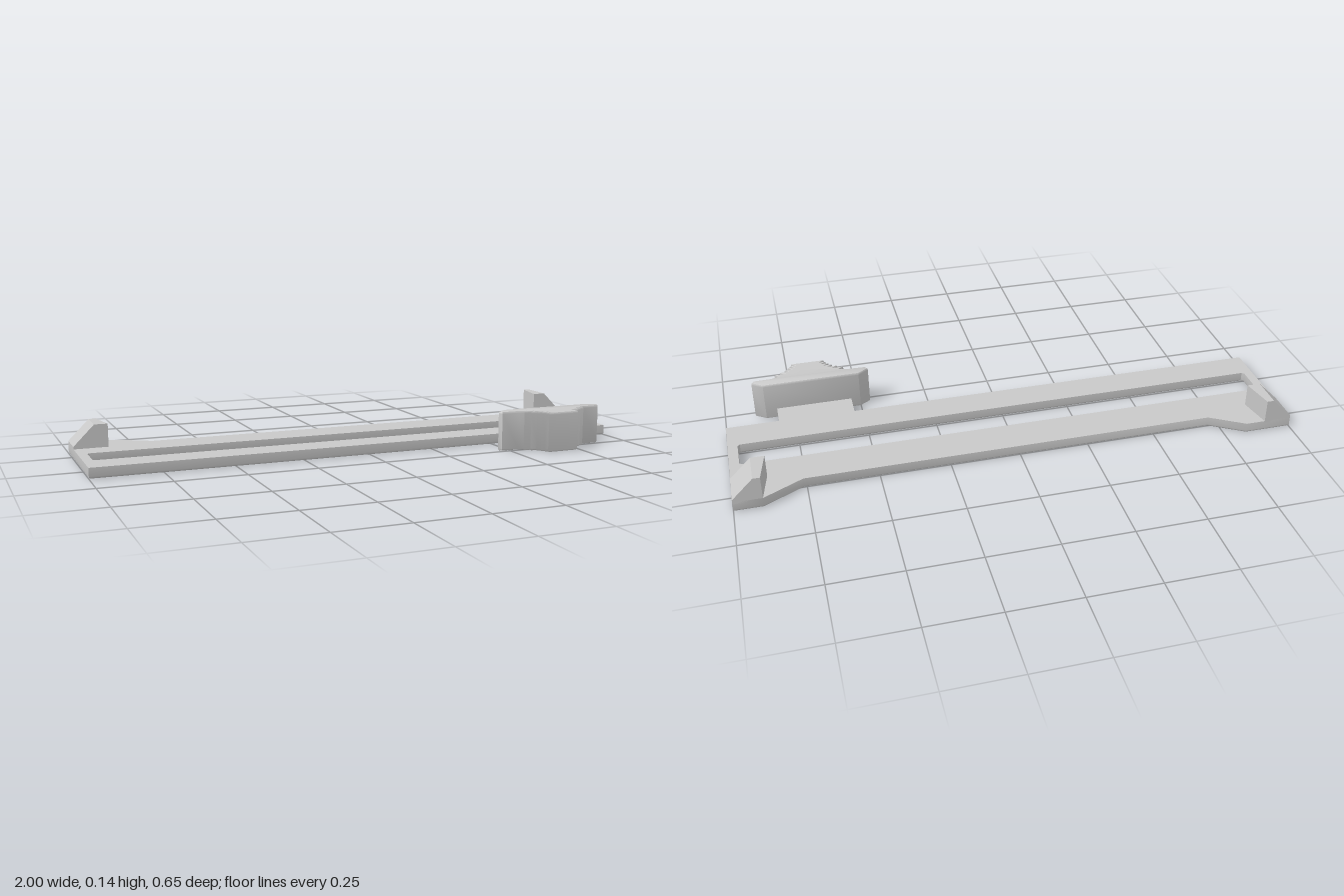
import * as THREE from 'three';
import { toCreasedNormals } from 'three/addons/utils/BufferGeometryUtils.js';

const grey = new THREE.MeshStandardMaterial({ color: 0xc8c8c8 });
grey.name = 'grey plastic';

// Points are [x, z] seen from above
const toVectors = (points) => points.map(([x, z]) => new THREE.Vector2(x, -z));

// Upright slab with softened lower edges, and softened upper edges if roundTop is set.
// The outline runs clockwise seen from above, a hole runs counter-clockwise.
function slab(name, outline, height, size, thickness, roundTop, hole) {
  const shape = new THREE.Shape(toVectors(outline));
  if (hole) shape.holes.push(new THREE.Path(toVectors(hole)));
  const depth = height - thickness * (roundTop ? 2 : 1);
  const geo = new THREE.ExtrudeGeometry(shape, {
    depth, bevelEnabled: true, bevelSize: size, bevelOffset: -size,
    bevelThickness: thickness, bevelSegments: 3,
  });
  geo.translate(0, 0, thickness).rotateX(-Math.PI / 2);
  const pos = geo.attributes.position;
  // Flatten the upper bevel to leave a crisp top
  if (!roundTop) {
    for (let i = 0; i < pos.count; i++) pos.setY(i, Math.min(pos.getY(i), height));
  }
  const mesh = new THREE.Mesh(toCreasedNormals(geo, 0.6), grey);
  mesh.name = name;
  return mesh;
}

// Sloped end stop on a back corner; side is +1 for left, -1 for right
function endStop(side) {
  const profile = [[1, 0.03], [1, 0.047], [0.925, 0.122], [0.877, 0.122], [0.877, 0.03]];
  const shape = new THREE.Shape(profile.map(([x, y]) => new THREE.Vector2(side * x, y)));
  const geo = new THREE.ExtrudeGeometry(shape, { depth: 0.119, bevelEnabled: false });
  geo.translate(0, 0, -0.325);
  // The inner face leans outwards towards the back
  const pos = geo.attributes.position;
  for (let i = 0; i < pos.count; i++) {
    if (Math.abs(pos.getX(i)) < 0.9 && pos.getZ(i) < -0.3) pos.setX(i, side * 0.9);
  }
  geo.computeVertexNormals();
  const mesh = new THREE.Mesh(geo, grey);
  mesh.name = side > 0 ? 'leftEndStop' : 'rightEndStop';
  return mesh;
}

// Thumb grip: wide flange narrowing forwards through a row of undercut saw teeth
function thumbGrip() {
  const half = [[0.175, 0.2], [0.214, 0.226], [0.206, 0.24], [0.14, 0.242], [0.12, 0.249]];
  const tips = [0.127, 0.106, 0.089, 0.077, 0.068, 0.062];
  const pitch = 0.0127;
  tips.forEach((tip, i) => {
    const z = 0.249 + i * pitch;
    half.push([tip - 0.016, z], [tip, z + pitch]);
  });
  const centre = 0.676;
  const outline = [
    ...half.map(([w, z]) => [centre + w, z]),
    ...half.map(([w, z]) => [centre - w, z]).reverse(),
  ];
  return slab('thumbGrip', outline, 0.145, 0.004, 0.008, true);
}

export function createModel() {
  const group = new THREE.Group();
  group.name = 'slottedSlider';

  // Long plate with back corner tabs, a front neck and a slot
  const plate = [
    [-1, -0.325], [-0.83, -0.325], [-0.71, -0.252], [0.76, -0.252], [0.9, -0.325], [1, -0.325],
    [1, 0.117], [0.81, 0.117], [0.81, 0.21], [0.535, 0.21], [0.535, 0.113], [-1, 0.113],
  ];
  const c = 0.008;
  const [l, r, b, f] = [-0.967, 0.965, -0.118, 0.002];
  const slot = [
    [l, b + c], [l, f - c], [l + c, f], [r - c, f], [r, f - c], [r, b + c], [r - c, b], [l + c, b],
  ];
  group.add(slab('slottedPlate', plate, 0.038, 0.007, 0.008, false, slot));

  group.add(endStop(1), endStop(-1), thumbGrip());
  return group;
}
